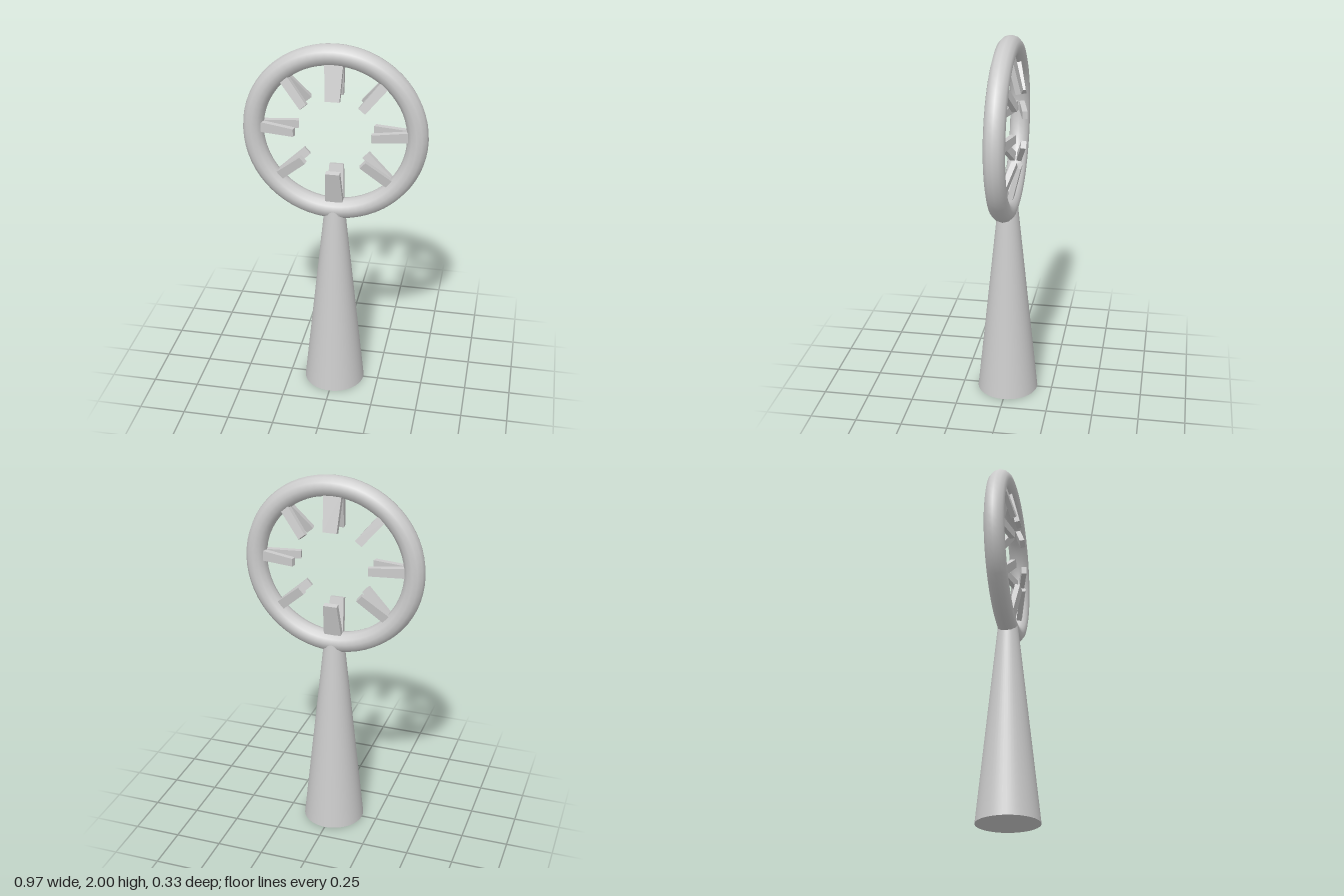
import * as THREE from 'three';

const material = new THREE.MeshStandardMaterial({ color: 0xcccccc });

function addMesh(group, name, geometry) {
  const mesh = new THREE.Mesh(geometry, material);
  mesh.name = name;
  group.add(mesh);
  return mesh;
}

// Tapered bar running along +y from the origin
function taperedBar(length, innerWidth, outerWidth, depth) {
  const geometry = new THREE.BoxGeometry(1, length, depth).translate(0, length / 2, 0);
  const p = geometry.attributes.position;
  for (let i = 0; i < p.count; i++) {
    p.setX(i, p.getX(i) * THREE.MathUtils.lerp(innerWidth, outerWidth, p.getY(i) / length));
  }
  geometry.computeVertexNormals();
  return geometry;
}

export function createModel() {
  const model = new THREE.Group();
  model.name = 'ringOnPedestal';

  // Tapering pedestal
  const pedestal = addMesh(model, 'pedestal', new THREE.CylinderGeometry(0.054, 0.167, 1.09, 48));
  pedestal.position.y = 0.545;

  // Upright ring
  const ring = addMesh(model, 'ring', new THREE.TorusGeometry(0.428, 0.055, 12, 64));
  ring.position.y = 1.517;

  // Spoke pairs: [inner x, inner y, outer x, outer y, inner width, outer width]
  const spokes = [
    [0, 1.717, 0, 1.92, 0.074, 0.098],
    [0, 1.32, 0, 1.12, 0.074, 0.098],
  ];
  for (const s of [1, -1]) {
    spokes.push(
      [s * 0.2, 1.535, s * 0.4, 1.535, 0.042, 0.056],
      [s * 0.148, 1.678, s * 0.272, 1.825, 0.044, 0.05],
      [s * 0.155, 1.385, s * 0.302, 1.255, 0.044, 0.05],
    );
  }

  // Each spoke is a V of two bars that spread front and back toward the centre
  const spokeGroup = new THREE.Group();
  spokeGroup.name = 'spokes';
  model.add(spokeGroup);
  const up = new THREE.Vector3(0, 1, 0);
  for (const [x0, y0, x1, y1, w0, w1] of spokes) {
    for (const side of [1, -1]) {
      const inner = new THREE.Vector3(x0, y0, side * 0.059);
      const axis = new THREE.Vector3(x1, y1, side * 0.011).sub(inner);
      const bar = addMesh(spokeGroup, 'spoke', taperedBar(axis.length(), w0, w1, 0.028));
      // Local y follows the spoke, local x stays in the plane of the ring
      const y = axis.clone().normalize();
      const x = new THREE.Vector3(y1 - y0, x0 - x1, 0).normalize();
      const z = new THREE.Vector3().crossVectors(x, y);
      bar.quaternion.setFromRotationMatrix(new THREE.Matrix4().makeBasis(x, y, z));
      bar.position.copy(inner);
    }
  }
  return model;
}
